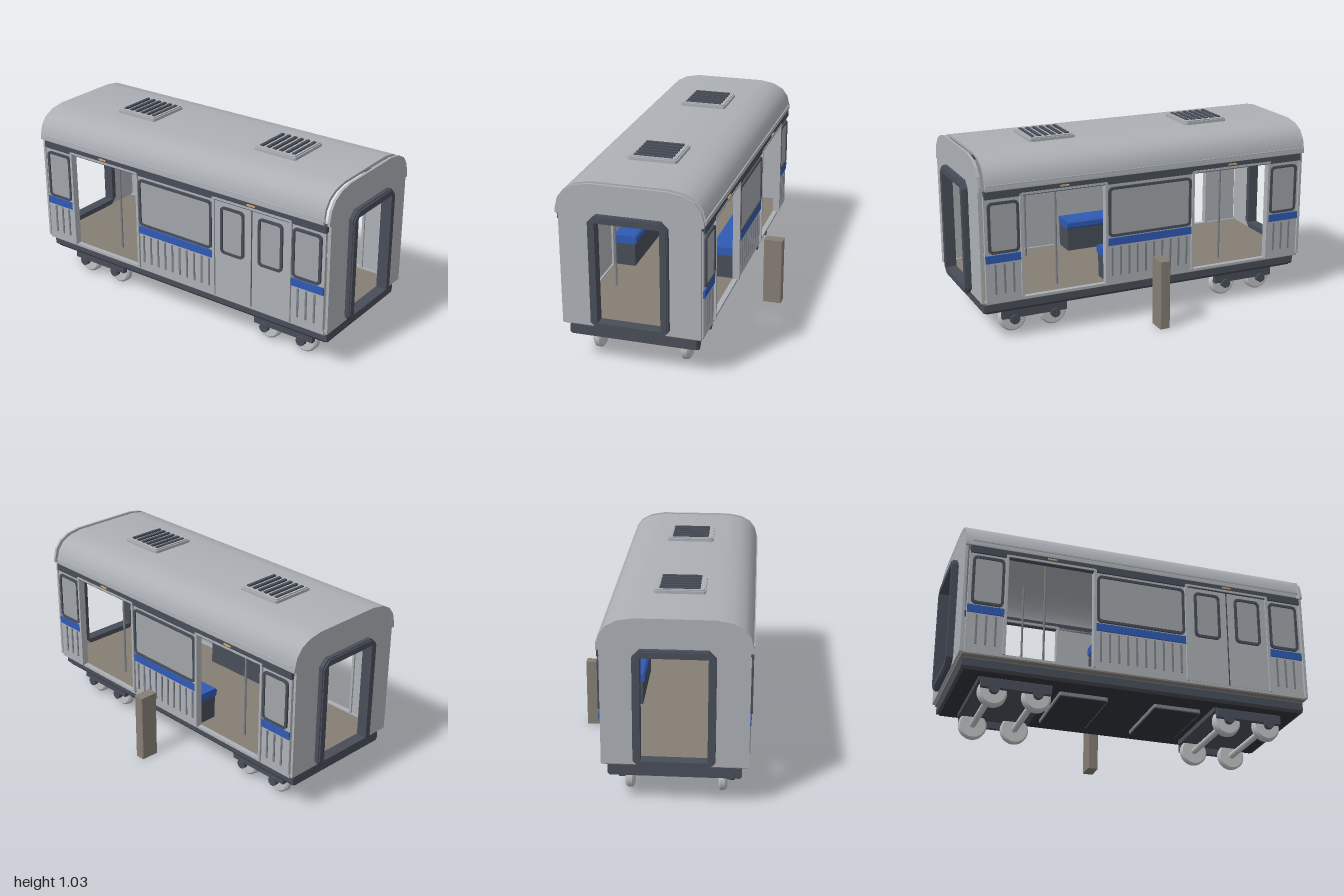
import * as THREE from 'three';
import { toCreasedNormals } from 'three/addons/utils/BufferGeometryUtils.js';

const mat = (name, color) => {
  const m = new THREE.MeshStandardMaterial({ color });
  m.name = name;
  return m;
};

export function createModel() {
  const M = {
    body: mat('body grey', 0xacb0b5),
    glass: mat('window grey', 0xa0a4a8),
    dark: mat('dark trim', 0x484d58),
    under: mat('underside black', 0x30323a),
    blue: mat('blue', 0x2f5ab4),
    floor: mat('floor taupe', 0x857e74),
    metal: mat('wheel metal', 0xbfc2c5),
    rib: mat('rib grey', 0x7c8188),
    lamp: mat('lamp amber', 0xc9a571),
  };
  const root = new THREE.Group();
  root.name = 'railCar';
  const car = new THREE.Group();
  car.name = 'carriage';
  car.position.x = -0.0935;
  root.add(car);

  const add = (parent, name, geo, material, x = 0, y = 0, z = 0) => {
    const m = new THREE.Mesh(geo, material);
    m.name = name;
    m.position.set(x, y, z);
    parent.add(m);
    return m;
  };
  // Box given by its limits on each axis
  const box = (parent, name, material, x0, x1, y0, y1, z0, z1) =>
    add(parent, name, new THREE.BoxGeometry(x1 - x0, y1 - y0, z1 - z0), material,
      (x0 + x1) / 2, (y0 + y1) / 2, (z0 + z1) / 2);
  const poly = (pts) => pts.map(([x, y]) => new THREE.Vector2(x, y));
  // Rectangle with cut corners
  const cut = (x0, x1, y0, y1, c) => poly([
    [x0 + c, y0], [x1 - c, y0], [x1, y0 + c], [x1, y1 - c],
    [x1 - c, y1], [x0 + c, y1], [x0, y1 - c], [x0, y0 + c]]);
  const rounded = (w, h, r) => {
    const s = new THREE.Shape();
    s.absarc(w / 2 - r, h / 2 - r, r, 0, Math.PI / 2);
    s.absarc(-w / 2 + r, h / 2 - r, r, Math.PI / 2, Math.PI);
    s.absarc(-w / 2 + r, -h / 2 + r, r, Math.PI, Math.PI * 1.5);
    s.absarc(w / 2 - r, -h / 2 + r, r, Math.PI * 1.5, Math.PI * 2);
    return s;
  };
  const extrude = (outer, hole, depth) => {
    const s = outer instanceof THREE.Shape ? outer : new THREE.Shape(outer);
    if (hole) s.holes.push(hole instanceof THREE.Shape ? hole : new THREE.Path(hole));
    return new THREE.ExtrudeGeometry(s, { depth, bevelEnabled: false, curveSegments: 5 });
  };

  // Roof shell
  const arc = [[0.383, 0.86], [0.368, 0.92], [0.335, 0.963], [0.28, 0.992], [0.2, 1.006]];
  const mirror = (pts) => [...pts, ...pts.map(([x, y]) => [-x, y]).reverse()];
  const outerArc = mirror([[0.383, 0.838], ...arc]);
  const innerArc = mirror([[0.37, 0.838], ...arc.map(([x, y]) => [x * 0.965, y - 0.014])]).reverse();
  add(car, 'roof', toCreasedNormals(extrude(poly([...outerArc, ...innerArc]), null, 1.895), 0.6),
    M.body, 0, 0, -0.965);

  // End walls and gangway frames
  const endPts = mirror([[0.368, 0.23], [0.368, 0.838], [0.383, 0.838], ...arc]);
  const opening = [[-0.18, 0.25], [0.18, 0.25], [0.18, 0.83], [-0.18, 0.83]];
  for (const [z, label] of [[0.952, 'front'], [-0.964, 'back']]) {
    add(car, label + 'EndWall', extrude(poly(endPts), poly(opening), 0.014), M.body, 0, 0, z);
    const frame = new THREE.Group();
    frame.name = label + 'Gangway';
    car.add(frame);
    const dir = Math.sign(z);
    const place = (name, c, d, za, zb, mt) => add(frame, name,
      extrude(cut(-c, c, 0.225 + d, 0.853 - d, 0.038),
        poly([[-0.167, 0.265], [0.167, 0.265], [0.167, 0.815], [-0.167, 0.815]]), zb - za),
      mt, 0, 0, dir > 0 ? za : -zb);
    place('gangwayFrame', 0.206, 0, 0.968, 0.992, M.dark);
    place('gangwayLip', 0.2, 0.006, 0.992, 1, M.dark);
    place('gangwayLining', 0.196, 0.01, 0.94, 0.968, M.dark);
  }

  // Floor, sill and underframe
  box(car, 'floor', M.floor, -0.366, 0.366, 0.219, 0.231, -0.95, 0.952);
  add(car, 'underframe', extrude(cut(-0.338, 0.338, 0.158, 0.219, 0.01), null, 1.89),
    M.dark, 0, 0, -0.945);
  box(car, 'underPlate', M.under, -0.325, 0.325, 0.152, 0.159, -0.93, 0.93);
  for (const z of [-0.2625, 0.2625]) {
    box(car, 'equipmentBox', M.under, -0.2, 0.2, 0.128, 0.156, z - 0.127, z + 0.127);
    add(car, 'equipmentRim', extrude(rounded(0.42, 0.268, 0.012), rounded(0.39, 0.238, 0.01), 0.018),
      M.rib, 0, 0.15, z).rotation.x = Math.PI / 2;
  }

  // Window: dark rounded frame around a pane, facing +x
  const windowAt = (parent, x, y, z, w, h) => {
    const f = add(parent, 'windowFrame',
      extrude(rounded(w, h, 0.025), rounded(w - 0.028, h - 0.028, 0.016), 0.012), M.dark, x, y, z);
    f.rotation.y = Math.PI / 2;
    const p = add(parent, 'windowPane',
      extrude(rounded(w - 0.026, h - 0.026, 0.016), null, 0.005), M.glass, x, y, z);
    p.rotation.y = Math.PI / 2;
  };

  // Both sides share one layout; the second is turned half round
  for (const label of ['left', 'right']) {
    const side = new THREE.Group();
    side.name = label + 'Side';
    side.rotation.y = label === 'left' ? 0 : Math.PI;
    car.add(side);
    box(side, 'headerBand', M.dark, 0.355, 0.382, 0.796, 0.836, -0.945, 0.937);
    box(side, 'roofRail', M.body, 0.378, 0.387, 0.861, 0.869, -0.94, 0.93);
    box(side, 'sill', M.body, 0.345, 0.372, 0.224, 0.238, -0.945, 0.945);

    for (const [z0, z1] of [[-0.94, -0.735], [-0.265, 0.265], [0.735, 0.94]]) {
      const w = z1 - z0, zc = (z0 + z1) / 2;
      box(side, 'wallPanel', M.body, 0.355, 0.372, 0.235, 0.81, z0, z1);
      box(side, 'blueStripe', M.blue, 0.371, 0.379, 0.45, 0.492, z0, z1);
      windowAt(side, 0.371, 0.639, zc, w - 0.034, 0.278);
      const n = Math.round(w / 0.05) - 1;
      for (let i = 0; i < n; i++) {
        const z = zc + (i - (n - 1) / 2) * 0.05;
        box(side, 'panelRib', M.rib, 0.37, 0.377, 0.275, 0.44, z - 0.005, z + 0.005);
      }
    }

    for (const z of [-0.5, 0.5]) {
      // Doorway surround, lamp and grab pole
      for (const s of [-1, 1]) {
        const c = z + s * 0.24;
        box(side, 'doorPost', M.body, 0.345, 0.384, 0.235, 0.81, c - 0.007, c + 0.007);
      }
      box(side, 'doorHeader', M.body, 0.345, 0.384, 0.8, 0.812, z - 0.24, z + 0.24);
      box(side, 'doorLamp', M.lamp, 0.38, 0.388, 0.82, 0.828, z - 0.025, z + 0.025);
      add(side, 'grabPole', new THREE.CylinderGeometry(0.006, 0.006, 0.75, 8), M.rib, 0.245, 0.605, z);
    }

    // Closed door leaves on one side only
    if (label === 'right') {
      for (const s of [-1, 1]) {
        const zc = -0.5 + s * 0.119;
        box(side, 'doorLeaf', M.body, 0.356, 0.374, 0.238, 0.802, zc - 0.115, zc + 0.115);
        windowAt(side, 0.372, 0.635, zc, 0.15, 0.27);
      }
      box(side, 'doorSeal', M.dark, 0.358, 0.372, 0.238, 0.802, -0.506, -0.494);
    }

    // Bench
    box(side, 'benchBase', M.dark, 0.225, 0.356, 0.23, 0.365, -0.245, 0.245);
    add(side, 'benchCushion', extrude(cut(0.215, 0.356, 0.365, 0.412, 0.01), null, 0.5),
      M.blue, 0, 0, -0.25);
  }

  // Roof vents
  for (const z of [-0.465, 0.465]) {
    const vent = new THREE.Group();
    vent.name = 'roofVent';
    vent.position.z = z;
    car.add(vent);
    const hood = add(vent, 'ventHood', extrude(rounded(0.264, 0.26, 0.014), null, 0.022), M.body, 0, 1, 0);
    hood.rotation.x = -Math.PI / 2;
    const rim = add(vent, 'ventRim',
      extrude(rounded(0.25, 0.246, 0.012), rounded(0.214, 0.222, 0.008), 0.007), M.body, 0, 1.021, 0);
    rim.rotation.x = -Math.PI / 2;
    for (let i = 0; i < 6; i++) {
      const c = (i - 2.5) * 0.04;
      box(vent, 'ventSlat', M.dark, -0.103, 0.103, 1.02, 1.032, c - 0.008, c + 0.008);
    }
  }

  // Bogies with two axles each
  for (const zb of [-0.645, 0.645]) {
    const bogie = new THREE.Group();
    bogie.name = 'bogie';
    bogie.position.z = zb;
    car.add(bogie);
    add(bogie, 'bolster', extrude(cut(-0.265, 0.265, 0.125, 0.157, 0.008), null, 0.39),
      M.dark, 0, 0, -0.195);
    for (const s of [-1, 1]) {
      box(bogie, 'sideFrame', M.dark, s * 0.275 - 0.013, s * 0.275 + 0.013, 0.09, 0.137, -0.185, 0.185);
    }
    for (const z of [-0.116, 0.116]) {
      const axle = add(bogie, 'axle', new THREE.CylinderGeometry(0.018, 0.018, 0.56, 12), M.metal, 0, 0.08, z);
      axle.rotation.z = Math.PI / 2;
      for (const s of [-1, 1]) {
        const prof = poly([[0, -0.022], [0.07, -0.022], [0.078, -0.014], [0.076, 0.012], [0.066, 0.022], [0, 0.022]]);
        const wheel = add(bogie, 'wheel', toCreasedNormals(new THREE.LatheGeometry(prof, 24), 0.5),
          M.metal, s * 0.24, 0.08, z);
        wheel.rotation.z = -s * Math.PI / 2;
        const hub = add(bogie, 'axleBox', new THREE.CylinderGeometry(0.027, 0.027, 0.026, 10),
          M.dark, s * 0.287, 0.083, z);
        hub.rotation.z = Math.PI / 2;
      }
    }
  }

  // Free-standing post beside the carriage
  add(root, 'post', extrude(cut(0.371, 0.477, -0.029, 0.029, 0.004), null, 0.386), M.floor)
    .rotation.x = -Math.PI / 2;

  return root;
}
